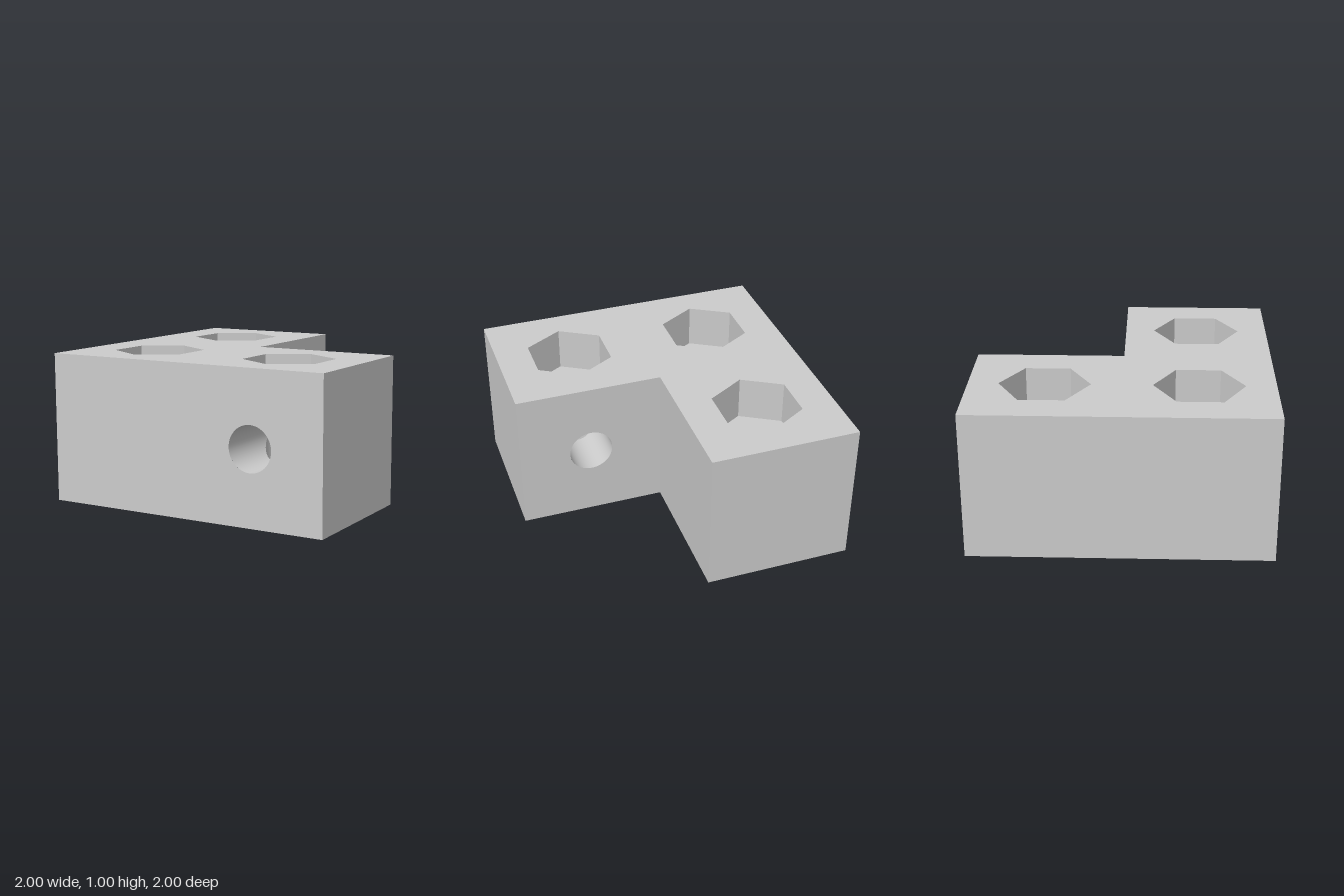
import * as THREE from 'three';

const BORE = 0.15, HEX = 0.3, DEPTH = 0.3, SEG = 48;
const SOCKETS = [[-0.5, -0.5], [-0.5, 0.5], [0.5, 0.5]]; // x, z
const CROSSED = SOCKETS[2]; // socket met by the cross bore

const outside = new THREE.MeshStandardMaterial({ color: 0xcccccc });
const inside = new THREE.MeshStandardMaterial({ color: 0xcccccc, side: THREE.BackSide });
const insideFlat = new THREE.MeshStandardMaterial({ color: 0xcccccc, side: THREE.BackSide, flatShading: true });

const polygon = (pts) => new THREE.Shape(pts.map(([x, y]) => new THREE.Vector2(x, y)));
const circle = (x, y) => new THREE.Path().absarc(x, y, BORE, 0, Math.PI * 2, false);
const hexagon = (x, y) => polygon(Array.from({ length: 6 }, (_, i) => {
  const a = Math.PI / 2 + i * Math.PI / 3;
  return [x + HEX * Math.cos(a), y + HEX * Math.sin(a)];
}));

export function createModel() {
  const group = new THREE.Group();
  const add = (name, geometry, material = outside) => {
    const mesh = new THREE.Mesh(geometry, material);
    mesh.name = name;
    group.add(mesh);
    return mesh;
  };

  // Outer wall with optional bore; u runs along the wall from its centre
  const wall = (name, width, x, z, turn, holeU) => {
    const w = width / 2;
    const shape = polygon([[-w, 0], [w, 0], [w, 1], [-w, 1]]);
    if (holeU !== undefined) shape.holes.push(circle(holeU, 0.5));
    const mesh = add(name, new THREE.ShapeGeometry(shape, SEG));
    mesh.position.set(x, 0, z);
    mesh.rotation.y = turn;
  };
  const Q = Math.PI / 2;
  wall('frontWall', 2, 0, 1, 0, 0.5);
  wall('rightWall', 2, -1, 0, -Q);
  wall('backWall', 1, -0.5, -1, 2 * Q);
  wall('leftWall', 1, 1, 0.5, Q);
  wall('innerSideWall', 1, 0, -0.5, Q);
  wall('innerBackWall', 1, 0.5, 0, 2 * Q, 0);

  // Top (s = -1) and bottom (s = 1) faces, with the socket floors
  for (const s of [-1, 1]) {
    const side = s < 0 ? 'top' : 'bottom';
    const level = s < 0 ? 1 : 0;
    const face = polygon([[-1, -1], [0, -1], [0, 0], [1, 0], [1, 1], [-1, 1]].map(([x, z]) => [x, s * z]));
    for (const [x, z] of SOCKETS) {
      face.holes.push(hexagon(x, s * z));
      const floor = hexagon(x, s * z);
      floor.holes.push(circle(x, s * z));
      add(side + 'SocketFloor', new THREE.ShapeGeometry(floor, SEG).rotateX(s * Q))
        .position.y = level + s * DEPTH;
      add(side + 'SocketWall', new THREE.CylinderGeometry(HEX, HEX, DEPTH, 6, 1, true), insideFlat)
        .position.set(x, level + s * DEPTH / 2, z);
    }
    add(side + 'Face', new THREE.ShapeGeometry(face, SEG).rotateX(s * Q)).position.y = level;
  }

  // Plain vertical bores
  for (const [x, z] of SOCKETS.slice(0, 2)) {
    add('verticalBore', new THREE.CylinderGeometry(BORE, BORE, 1 - 2 * DEPTH, SEG, 1, true), inside)
      .position.set(x, 0.5, z);
  }

  // Two equal bores crossing: each half starts on the intersection curve
  const halfBore = (name, length, tilt) => {
    const geometry = new THREE.CylinderGeometry(BORE, BORE, length, SEG, 1, true);
    const p = geometry.attributes.position;
    for (let i = 0; i < p.count; i++) p.setY(i, p.getY(i) > 0 ? length : Math.abs(p.getZ(i)));
    const mesh = add(name, geometry, inside);
    mesh.position.set(CROSSED[0], 0.5, CROSSED[1]);
    mesh.rotation.x = tilt;
  };
  halfBore('crossedVerticalBore', 0.5 - DEPTH, 0);
  halfBore('crossedVerticalBore', 0.5 - DEPTH, Math.PI);
  halfBore('crossBore', 0.5, Q);
  halfBore('crossBore', 0.5, -Q);

  return group;
}
